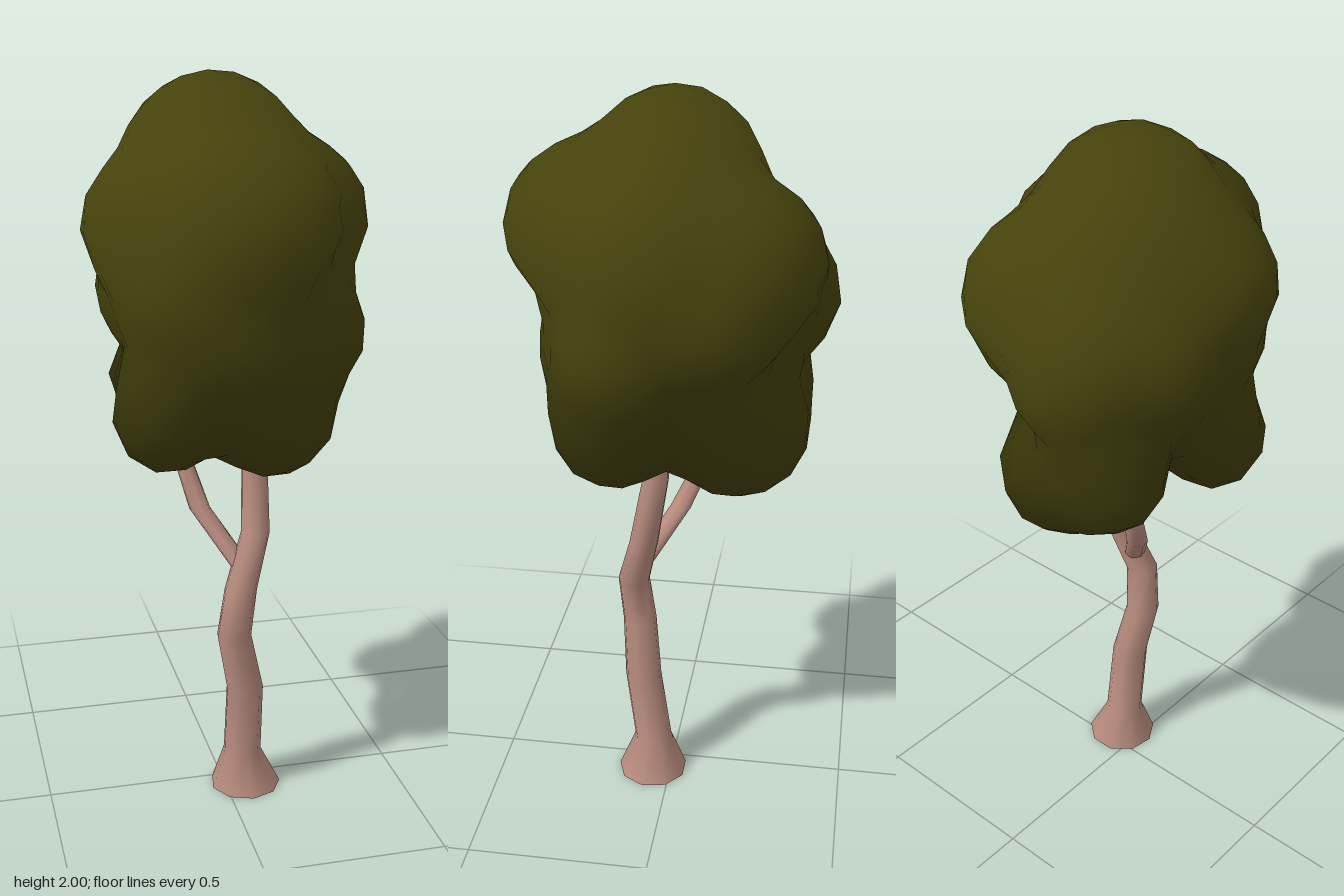
import * as THREE from 'three';
import { mergeVertices } from 'three/addons/utils/BufferGeometryUtils.js';

const bark = new THREE.MeshStandardMaterial({ color: 0xb88c7e, side: THREE.DoubleSide });
bark.name = 'bark';
const leaf = new THREE.MeshStandardMaterial({ color: 0x45420c });
leaf.name = 'leaf';

// Open limb from horizontal rings [x, y, z, radius]
function limb(name, rings, sides) {
  const pos = [], index = [];
  rings.forEach(([x, y, z, r]) => {
    for (let i = 0; i < sides; i++) {
      const a = (i / sides) * Math.PI * 2;
      pos.push(x + Math.sin(a) * r, y, z + Math.cos(a) * r);
    }
  });
  for (let k = 0; k < rings.length - 1; k++) {
    for (let i = 0; i < sides; i++) {
      const a = k * sides + i, b = k * sides + (i + 1) % sides;
      index.push(a, b, b + sides, a, b + sides, a + sides);
    }
  }
  const g = new THREE.BufferGeometry();
  g.setAttribute('position', new THREE.Float32BufferAttribute(pos, 3));
  g.setIndex(index);
  g.computeVertexNormals();
  const mesh = new THREE.Mesh(g, bark);
  mesh.name = name;
  return mesh;
}

// Leaf clumps [x, y, z, rx, ry, rz] that melt into one crown
const clumps = [
  [-0.02, 1.725, 0, 0.25, 0.275, 0.24],     // top
  [0.015, 1.65, 0.19, 0.24, 0.225, 0.24],   // upper front
  [0.195, 1.63, 0.045, 0.182, 0.2, 0.18],   // upper left
  [-0.2, 1.63, 0.08, 0.178, 0.18, 0.16],    // upper right
  [0.11, 1.6, -0.19, 0.175, 0.21, 0.21],    // upper back left
  [-0.07, 1.47, -0.23, 0.165, 0.2, 0.2],    // upper back right
  [0, 1.4, 0, 0.26, 0.3, 0.27],             // core
  [0.19, 1.35, 0.12, 0.165, 0.17, 0.16],    // side left
  [0.18, 1.47, -0.135, 0.16, 0.17, 0.16],   // side back left
  [-0.165, 1.45, -0.07, 0.155, 0.18, 0.16], // side right
  [-0.11, 1.45, 0.14, 0.19, 0.2, 0.18],     // side front right
  [0.02, 1.33, 0.17, 0.2, 0.18, 0.18],      // middle front
  [0.1, 1.15, 0.14, 0.175, 0.18, 0.175],    // lower front left
  [-0.175, 1.16, 0.15, 0.145, 0.16, 0.145], // lower front right
  [0.04, 1.13, -0.17, 0.175, 0.195, 0.2],   // lower back left
  [-0.12, 1.17, -0.21, 0.15, 0.15, 0.16],   // lower back right
];
const blend = 0.07;

// Approximate distance to the softly joined clumps
function crownDistance(p) {
  let d = 10;
  for (const [x, y, z, rx, ry, rz] of clumps) {
    const e = (Math.hypot((p.x - x) / rx, (p.y - y) / ry, (p.z - z) / rz) - 1) * Math.min(rx, ry, rz);
    const h = Math.max(blend - Math.abs(d - e), 0) / blend;
    d = Math.min(d, e) - h * h * blend * 0.25;
  }
  return d;
}

// One shell, each vertex drawn in towards the centre until it meets the clumps
function makeCrown() {
  const centre = new THREE.Vector3(0, 1.45, 0);
  let g = new THREE.IcosahedronGeometry(1, 6);
  g.deleteAttribute('uv');
  g.deleteAttribute('normal');
  g = mergeVertices(g, 1e-3);
  const p = g.attributes.position, dir = new THREE.Vector3(), v = new THREE.Vector3();
  for (let i = 0; i < p.count; i++) {
    dir.fromBufferAttribute(p, i);
    dir.set(dir.x * 0.38, dir.y * 0.53, dir.z * 0.4).normalize();
    let r = 0.75;
    for (let k = 0; k < 80; k++) {
      v.copy(centre).addScaledVector(dir, r);
      r -= crownDistance(v) * 0.8;
    }
    v.copy(centre).addScaledVector(dir, r);
    p.setXYZ(i, v.x, Math.min(v.y, 2), v.z);
  }
  g.computeVertexNormals();

  // soften the shading towards one round crown
  const n = g.attributes.normal;
  for (let i = 0; i < p.count; i++) {
    dir.fromBufferAttribute(p, i).sub(centre).normalize();
    v.fromBufferAttribute(n, i).addScaledVector(dir, 1.5).normalize();
    n.setXYZ(i, v.x, v.y, v.z);
  }
  const mesh = new THREE.Mesh(g, leaf);
  mesh.name = 'crown';
  return mesh;
}

export function createModel() {
  const tree = new THREE.Group();
  tree.name = 'tree';

  // Winding trunk with a flared foot
  tree.add(limb('trunk', [
    [0.06, 0, 0.053, 0.1], [0.05, 0.11, 0.053, 0.054], [0.05, 0.32, 0.08, 0.052],
    [0.015, 0.49, 0.095, 0.048], [0.03, 0.63, 0.108, 0.045], [0.08, 0.78, 0.07, 0.04],
    [0.085, 0.98, 0.035, 0.036], [0.06, 1.3, 0.02, 0.025],
  ], 9));

  // Forked side branch
  tree.add(limb('branch', [
    [0.045, 0.68, 0.09, 0.03], [-0.055, 0.83, -0.015, 0.03],
    [-0.09, 0.96, -0.075, 0.026], [-0.1, 1.15, -0.1, 0.018],
  ], 7));
  tree.add(limb('twig', [
    [-0.085, 0.94, -0.065, 0.025], [-0.14, 1.03, -0.13, 0.023], [-0.18, 1.12, -0.18, 0.015],
  ], 7));

  tree.add(makeCrown());
  return tree;
}
